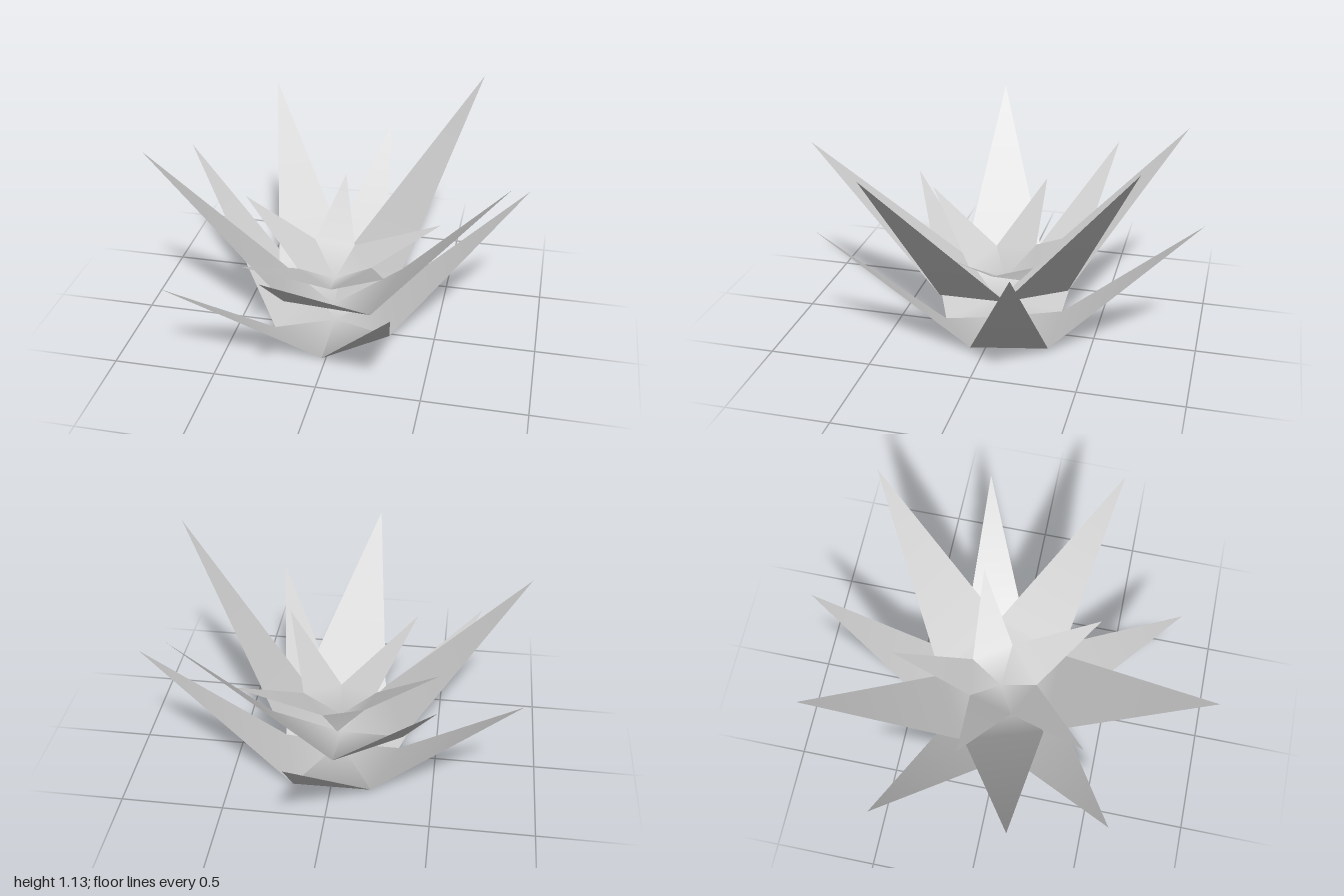
import * as THREE from 'three';

const material = new THREE.MeshStandardMaterial({ color: 0xcccccc, side: THREE.DoubleSide });

// Each tier: a hub, five shoulder points around it, and five tips.
// Leaf i spans shoulder i to shoulder i + 1.
const tiers = [
  {
    name: 'lowerLeaves',
    hub: [-0.01, 0.06, 0],
    shoulders: [[-0.02, 0.01, 0.27], [0.28, 0.04, 0.06], [0.185, 0.03, -0.305], [-0.2, 0.03, -0.3], [-0.31, 0.01, 0.06]],
    tips: [[0.39, 0.63, 0.78], [0.9, 0.75, -0.28], [0.1, 0.72, -1], [-0.88, 0.74, -0.47], [-0.69, 0.54, 0.61]],
  },
  {
    name: 'middleLeaves',
    hub: [-0.02, 0.145, -0.01],
    shoulders: [[-0.22, 0.285, 0.22], [0.21, 0.27, 0.23], [0.31, 0.33, -0.12], [-0.02, 0.25, -0.36], [-0.34, 0.27, -0.165]],
    tips: [[-0.11, 0.88, 0.99], [0.83, 1.09, 0.38], [0.61, 1.14, -0.75], [-0.51, 0.97, -0.86], [-0.9, 1, 0.17]],
  },
  {
    name: 'innerLeaves',
    hub: [-0.02, 0.28, -0.04],
    shoulders: [[0, 0.33, 0.14], [0.17, 0.38, -0.02], [0.05, 0.39, -0.2], [-0.15, 0.42, -0.17], [-0.19, 0.37, 0.045]],
    tips: [[0.3, 0.59, 0.4], [0.48, 0.54, -0.23], [-0.07, 0.6, -0.57], [-0.5, 0.64, -0.15], [-0.36, 0.59, 0.43]],
  },
];

// A folded leaf is a base triangle plus a pointed blade; all leaves share the hub vertex.
function makeTier({ name, hub, shoulders, tips }) {
  const positions = [...hub];
  const index = [];
  tips.forEach((tip, i) => {
    const a = 1 + i * 3;
    positions.push(...shoulders[i], ...shoulders[(i + 1) % shoulders.length], ...tip);
    index.push(0, a, a + 1, a, a + 2, a + 1);
  });
  const geometry = new THREE.BufferGeometry();
  geometry.setAttribute('position', new THREE.Float32BufferAttribute(positions, 3));
  geometry.setIndex(index);
  geometry.computeVertexNormals();
  const mesh = new THREE.Mesh(geometry, material);
  mesh.name = name;
  return mesh;
}

export function createModel() {
  const plant = new THREE.Group();
  plant.name = 'spikyPlant';
  tiers.forEach((tier) => plant.add(makeTier(tier)));
  return plant;
}
